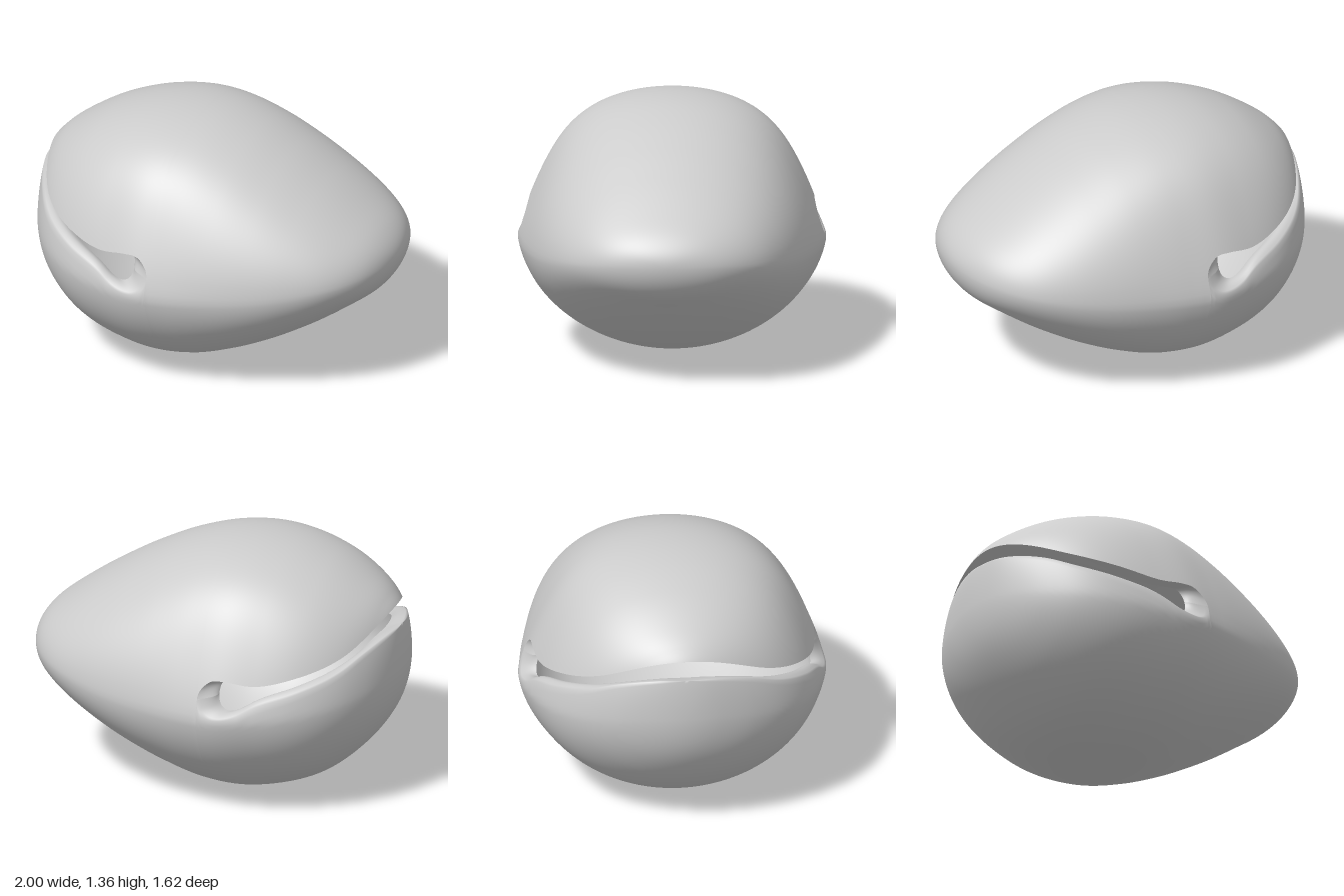
import * as THREE from 'three';
import { mergeVertices } from 'three/addons/utils/BufferGeometryUtils.js';

// Smooth curve through [key, value] pairs
function smooth(pts) {
  const n = pts.length;
  const d = (i) => (pts[i + 1][1] - pts[i][1]) / (pts[i + 1][0] - pts[i][0]);
  const m = pts.map((p, i) => {
    if (i === 0) return d(0);
    if (i === n - 1) return d(n - 2);
    const a = p[0] - pts[i - 1][0], b = pts[i + 1][0] - p[0];
    return (d(i - 1) * b + d(i) * a) / (a + b);
  });
  return (k) => {
    let i = 0;
    while (i < n - 2 && k > pts[i + 1][0]) i++;
    const h = pts[i + 1][0] - pts[i][0];
    const t = Math.min(1, Math.max(0, (k - pts[i][0]) / h)), t2 = t * t, t3 = t2 * t;
    return (2 * t3 - 3 * t2 + 1) * pts[i][1] + (t3 - 2 * t2 + t) * h * m[i]
      + (3 * t2 - 2 * t3) * pts[i + 1][1] + (t3 - t2) * h * m[i + 1];
  };
}

// Body stations: x, bottom, widest height, top, half width
const STATIONS = [
  [-1, 0.72, 0.72, 0.72, 0], [-0.97, 0.53, 0.71, 0.985, 0.2], [-0.9, 0.39, 0.68, 1.09, 0.38],
  [-0.8, 0.265, 0.655, 1.17, 0.53], [-0.6, 0.105, 0.62, 1.28, 0.69], [-0.4, 0.03, 0.6, 1.34, 0.77],
  [-0.2, 0, 0.59, 1.36, 0.81], [0, 0.02, 0.59, 1.345, 0.79], [0.2, 0.09, 0.6, 1.29, 0.75],
  [0.4, 0.185, 0.615, 1.2, 0.695], [0.6, 0.3, 0.64, 1.085, 0.615], [0.8, 0.435, 0.67, 0.95, 0.485],
  [0.93, 0.535, 0.69, 0.845, 0.315], [1, 0.7, 0.7, 0.7, 0],
];
const phi = (x) => Math.acos(Math.min(1, Math.max(-1, -x)));
const [bottom, waist, top, width] = [1, 2, 3, 4].map((c) => smooth(STATIONS.map((s) => [phi(s[0]), s[c]])));

// Relative half width at an angle from the waist: an ellipse, with flatter flanks by the cheeks
function section(x, a) {
  const cheeks = 0.2 + 0.8 * Math.exp(-(((x + 0.2) / 0.45) ** 2));
  return Math.cos(a) - cheeks * (a > 0 ? 0.045 * Math.sin(4 * a) : -0.05 * Math.sin(2 * a));
}

// Mouth lines (x, y) of the outer and inner skins, closing in a round hole
const OUTER = {
  scale: 1, end: -0.1, endY: 0.7,
  upper: [[-1, 1.09], [-0.95, 1.04], [-0.8, 0.9], [-0.6, 0.825], [-0.4, 0.785], [-0.25, 0.8], [-0.18, 0.8], [-0.12, 0.755], [-0.1, 0.7]],
  lower: [[-1, 0.945], [-0.96, 0.935], [-0.88, 0.885], [-0.8, 0.825], [-0.6, 0.74], [-0.4, 0.675], [-0.3, 0.62], [-0.2, 0.6], [-0.12, 0.635], [-0.1, 0.7]],
};
const INNER = {
  scale: 0.91, end: -0.22, endY: 0.727,
  upper: [[-1, 1.1], [-0.95, 1.05], [-0.85, 0.95], [-0.65, 0.845], [-0.45, 0.8], [-0.35, 0.805], [-0.26, 0.81], [-0.23, 0.78], [-0.22, 0.727]],
  lower: [[-1, 0.945], [-0.967, 0.936], [-0.88, 0.865], [-0.66, 0.77], [-0.44, 0.694], [-0.36, 0.65], [-0.297, 0.633], [-0.24, 0.66], [-0.22, 0.727]],
};
const TIP = 16, FRONT = 90, REAR = 70, AROUND = 64, LIP = 8;
const CENTRE = new THREE.Vector3(0, 0.65, 0);

// Half of a skin above or below the mouth line, as columns of points along x
function skinColumns(skin, half) {
  const key = (x) => Math.acos(THREE.MathUtils.clamp(1 - 2 * (x + 1) / (skin.end + 1), -1, 1));
  const curve = smooth(skin[half].map(([x, y]) => [key(x), y]));
  const mouth = (x) => (x < skin.end ? curve(key(x)) : skin.endY);
  // the mouth opens where its line meets the top of the body
  let open = -1, inside = -0.8;
  for (let n = 0; n < 40; n++) {
    const x = (open + inside) / 2;
    if (mouth(x) > top(phi(x))) open = x; else inside = x;
  }
  const xs = [];
  for (let i = 0; i < TIP; i++) xs.push(-1 + (open + 1) * (i / TIP) ** 2);
  for (let i = 0; i <= FRONT; i++) xs.push(open + (skin.end - open) * (1 - Math.cos(Math.PI * i / FRONT)) / 2);
  for (let i = 1; i <= REAR; i++) xs.push(skin.end + (1 - skin.end) * Math.sin(i / REAR * Math.PI / 2));

  const dir = half === 'upper' ? 1 : -1;
  return xs.map((x) => {
    const k = phi(x), mid = waist(k), up = top(k) - mid, down = mid - bottom(k), edgeY = mouth(x);
    const r = Math.max(1e-6, edgeY > mid ? up : down);
    const start = Math.asin(THREE.MathUtils.clamp((edgeY - mid) / r, -1, 1));
    const column = [];
    for (let j = 0; j <= AROUND; j++) {
      const f = Math.abs(1 - 2 * j / AROUND);
      const a = THREE.MathUtils.lerp(dir * Math.PI / 2, start, f);
      const z = width(k) * section(x, a) * Math.sign(AROUND / 2 - j);
      const p = new THREE.Vector3(x, mid + Math.sin(a) * (a > 0 ? up : down), z);
      column.push(p.sub(CENTRE).multiplyScalar(skin.scale).add(CENTRE));
    }
    return column;
  });
}

// Adds the quads of a grid of points
function addGrid(out, grid, flip) {
  for (let i = 0; i < grid.length - 1; i++) {
    for (let j = 0; j < grid[i].length - 1; j++) {
      const a = grid[i][j], b = grid[i + 1][j], c = grid[i + 1][j + 1], d = grid[i][j + 1];
      for (const t of flip ? [[a, c, b], [a, d, c]] : [[a, b, c], [a, c, d]]) {
        const area = t[1].clone().sub(t[0]).cross(t[2].clone().sub(t[0])).length();
        if (area > 1e-10) t.forEach((p) => out.push(p.x, p.y, p.z));
      }
    }
  }
}

// Lip bridging the two skins along both sides of the mouth
function addLip(out, outer, inner, half) {
  for (const j of [0, AROUND]) {
    const grid = [];
    for (let i = 0; i <= FRONT; i++) {
      const row = [];
      for (let n = 0; n <= LIP; n++) {
        const t = n / LIP, bulge = Math.sin(Math.PI * t), s = i / FRONT;
        const p = outer[TIP + i][j].clone().lerp(inner[TIP + i][j], t);
        p.x -= 0.025 * bulge * s ** 8;
        if (half === 'lower') p.y += 0.02 * bulge * Math.sin(Math.PI * s);
        row.push(p);
      }
      grid.push(row);
    }
    addGrid(out, grid, (j === 0) !== (half === 'lower'));
  }
}

function makeMesh(name, positions, material) {
  let geometry = new THREE.BufferGeometry();
  geometry.setAttribute('position', new THREE.Float32BufferAttribute(positions, 3));
  geometry = mergeVertices(geometry, 1e-5);
  geometry.computeVertexNormals();
  const mesh = new THREE.Mesh(geometry, material);
  mesh.name = name;
  return mesh;
}

export function createModel() {
  const group = new THREE.Group();
  group.name = 'hollowHead';
  const material = new THREE.MeshStandardMaterial({ color: 0xcccccc, side: THREE.DoubleSide });
  const shell = [], lining = [], upperLip = [];
  for (const half of ['upper', 'lower']) {
    const outer = skinColumns(OUTER, half), inner = skinColumns(INNER, half);
    // above the mouth there is no skin ahead of the opening
    const first = half === 'upper' ? TIP : 0;
    addGrid(shell, outer.slice(first), half === 'lower');
    addGrid(lining, inner.slice(first), half === 'upper');
    // the lower lip rounds softly into the shell, the upper keeps a sharp edge
    addLip(half === 'lower' ? shell : upperLip, outer, inner, half);
  }
  group.add(
    makeMesh('outerShell', shell, material),
    makeMesh('innerLining', lining, material),
    makeMesh('upperLip', upperLip, material),
  );
  return group;
}
